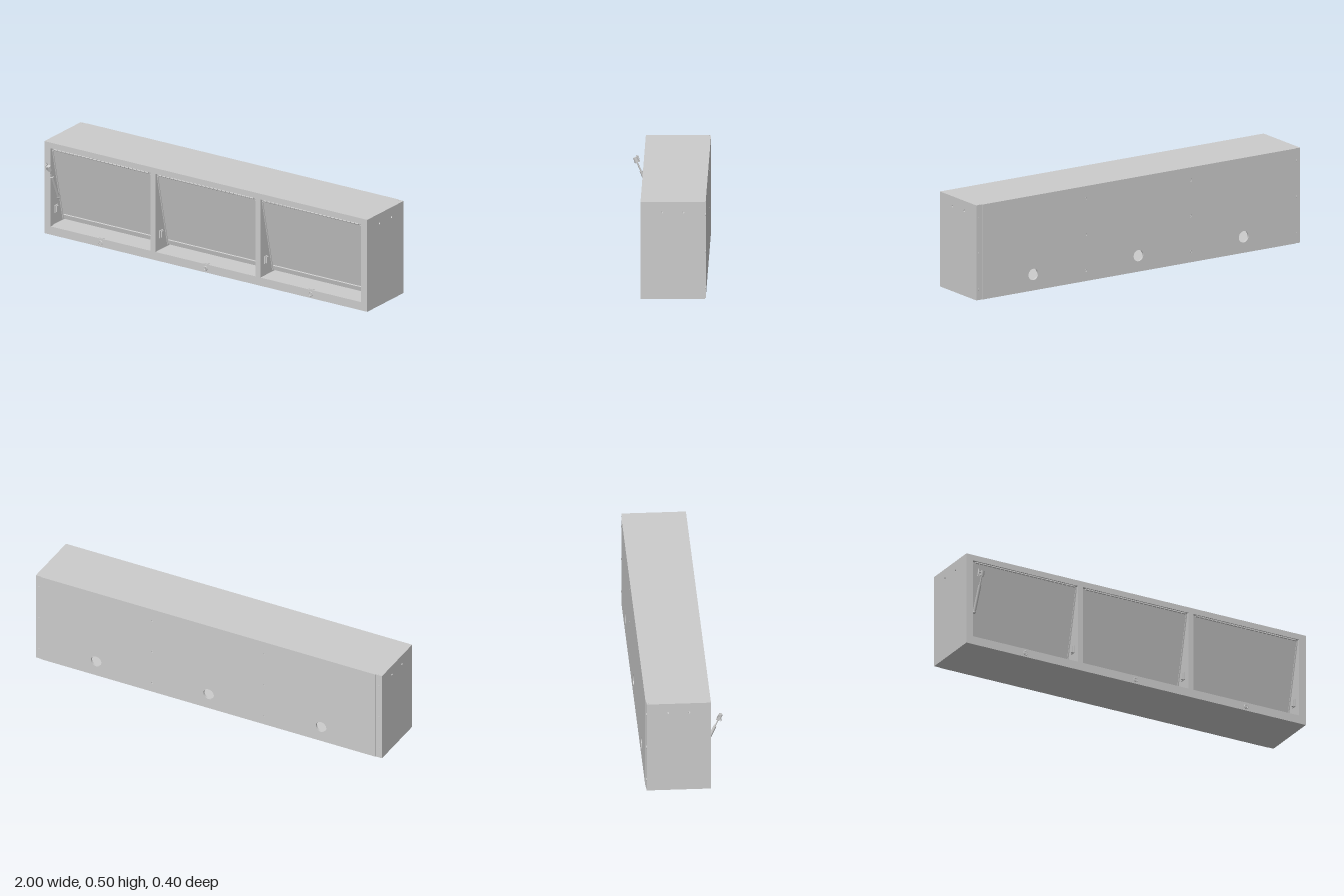
import * as THREE from 'three';

const FRONT = 0.138, BACK = -0.195, H = 0.503;
const FRAME = 0.02;                       // thickness of the front frame
const STEP = 0.003;                       // back panel stands proud of the sides by this
const bays = [[-0.96, -0.342], [-0.312, 0.308], [0.338, 0.96]];

export function createModel() {
  const model = new THREE.Group();
  const mat = new THREE.MeshStandardMaterial({ color: 0xcccccc, side: THREE.DoubleSide });

  const add = (name, geo, x = 0, y = 0, z = 0, parent = model) => {
    const m = new THREE.Mesh(geo, mat);
    m.name = name;
    m.position.set(x, y, z);
    parent.add(m);
    return m;
  };
  // box given by its lower and upper corners
  const box = (name, x0, x1, y0, y1, z0, z1, parent) =>
    add(name, new THREE.BoxGeometry(x1 - x0, y1 - y0, z1 - z0),
      (x0 + x1) / 2, (y0 + y1) / 2, (z0 + z1) / 2, parent);
  const rect = (C, x0, x1, y0, y1) => new C([
    new THREE.Vector2(x0, y0), new THREE.Vector2(x1, y0),
    new THREE.Vector2(x1, y1), new THREE.Vector2(x0, y1)]);
  const circle = (x, y, r) => new THREE.Path().absarc(x, y, r, 0, Math.PI * 2, true);
  const plate = (shape, depth) =>
    new THREE.ExtrudeGeometry(shape, { depth, bevelEnabled: false, curveSegments: 16 });
  // short disc facing along z
  const disc = (name, r, depth, x, y, z) => {
    const m = add(name, new THREE.CylinderGeometry(r, r, depth, 20), x, y, z);
    m.rotation.x = Math.PI / 2;
  };

  // front frame with three openings
  const face = rect(THREE.Shape, -1, 1, 0, H);
  bays.forEach(([a, b]) => face.holes.push(rect(THREE.Path, a, b, 0.045, 0.472)));
  add('frontFrame', plate(face, FRAME), 0, 0, FRONT - FRAME);

  // side panels with two bolt holes each
  const zIn = FRONT - FRAME;
  for (const s of [-1, 1]) {
    const side = rect(THREE.Shape, -zIn, -BACK - STEP, 0, H);
    side.holes.push(circle(-0.027, 0.45, 0.006), circle(0.082, 0.45, 0.006));
    const m = add('sidePanel', plate(side, 0.035), s > 0 ? 0.965 : -1);
    m.rotation.y = Math.PI / 2;           // shape x becomes -z
  }

  // top, floor and dividers
  box('topPanel', -0.965, 0.965, 0.475, H, BACK + 0.012, zIn);
  box('floorPanel', -0.965, 0.965, 0, 0.045, BACK + 0.012, zIn);
  for (const i of [0, 1])
    box('divider', bays[i][1], bays[i + 1][0], 0.045, 0.475, BACK + 0.012, zIn);

  // back panel between the sides, with cable holes and screw holes
  const back = rect(THREE.Shape, -0.965, 0.965, 0, H);
  [-0.65, 0, 0.65].forEach(x => back.holes.push(circle(x, 0.085, 0.03)));
  for (const y of [0.055, 0.245, 0.435]) {
    for (const x of [-0.325, 0.325]) {
      back.holes.push(circle(x, y, 0.007));
      disc('backScrew', 0.006, 0.009, x, y, BACK + 0.0055);
    }
    for (const x of [-0.982, 0.982]) disc('edgeScrew', 0.007, 0.004, x, y, BACK + STEP);
  }
  add('backPanel', plate(back, 0.012), 0, 0, BACK);

  // flat screws at the rear corners of the top
  for (const s of [-1, 1])
    add('topScrew', new THREE.CylinderGeometry(0.006, 0.006, 0.002, 12), s * 0.982, H - 0.0005, -0.183);

  bays.forEach(([a, b]) => {
    const mid = (a + b) / 2;

    // door hung from the top edge and swung inwards
    const door = new THREE.Group();
    door.name = 'door';
    door.position.set(0, 0.468, 0.13);
    door.rotation.x = 0.23;
    box('doorPanel', a + 0.004, b - 0.004, -0.422, 0, -0.01, 0, door);
    box('doorRail', a + 0.016, b - 0.016, -0.408, -0.391, 0, 0.008, door);
    for (const x of [a + 0.007, b - 0.007])
      box('doorEdge', x - 0.003, x + 0.003, -0.422, -0.01, 0, 0.004, door);
    model.add(door);

    // knuckled hinge
    const n = 24, step = (b - a - 0.03) / n;
    for (let i = 0; i < n; i++) {
      const k = add('hingeKnuckle', new THREE.CylinderGeometry(0.005, 0.005, step * 0.85, 8),
        a + 0.015 + step * (i + 0.5), 0.466, 0.132);
      k.rotation.z = Math.PI / 2;
    }

    // stay brackets on both walls of the bay
    for (const [x, s] of [[a, 1], [b, -1]]) {
      const c = x + s * 0.003;
      box('stayBracket', c - 0.003, c + 0.003, 0.11, 0.15, 0.075, 0.105);
      const block = x + s * 0.009;
      box('stayBlock', block - 0.004, block + 0.004, 0.113, 0.147, 0.082, 0.098);
    }

    // lock below the opening: rim, barrel, key slot and latch
    add('lockRim', new THREE.TorusGeometry(0.01, 0.003, 8, 24), mid, 0.022, FRONT);
    disc('lockBarrel', 0.007, 0.006, mid, 0.022, FRONT);
    box('lockSlot', mid - 0.0015, mid + 0.0015, 0.017, 0.027, FRONT + 0.002, FRONT + 0.004);
    box('lockLatch', mid - 0.014, mid + 0.014, 0.045, 0.048, FRONT - 0.016, FRONT - 0.004);
  });

  // gas strut leaning out of the right-hand bay
  const strut = new THREE.Group();
  strut.name = 'gasStrut';
  strut.position.set(-0.935, 0.2, 0.105);
  strut.rotation.x = 0.42;
  add('strutBody', new THREE.CylinderGeometry(0.008, 0.008, 0.14, 16), 0, 0.07, 0, strut);
  add('strutRod', new THREE.CylinderGeometry(0.004, 0.004, 0.06, 12), 0, 0.165, 0, strut);
  add('strutSocket', new THREE.CylinderGeometry(0.01, 0.012, 0.028, 12), 0, 0.203, 0, strut);
  add('strutFoot', new THREE.SphereGeometry(0.009, 12, 8), 0, 0, 0, strut);
  const ball = add('strutBallPin', new THREE.CylinderGeometry(0.005, 0.005, 0.024, 12), -0.01, 0.205, 0, strut);
  ball.rotation.z = Math.PI / 2;
  model.add(strut);

  // bent mounting clip and plate at the strut's free end
  const arc = new THREE.CatmullRomCurve3([
    [-0.955, 0.368, 0.192], [-0.957, 0.39, 0.189], [-0.957, 0.407, 0.182],
    [-0.953, 0.392, 0.174], [-0.95, 0.373, 0.169]].map(p => new THREE.Vector3(...p)));
  add('strutClip', new THREE.TubeGeometry(arc, 24, 0.0025, 8));
  const tab = add('strutPlate', new THREE.BoxGeometry(0.004, 0.03, 0.016), -0.953, 0.385, 0.182);
  tab.rotation.x = 0.42;

  return model;
}
